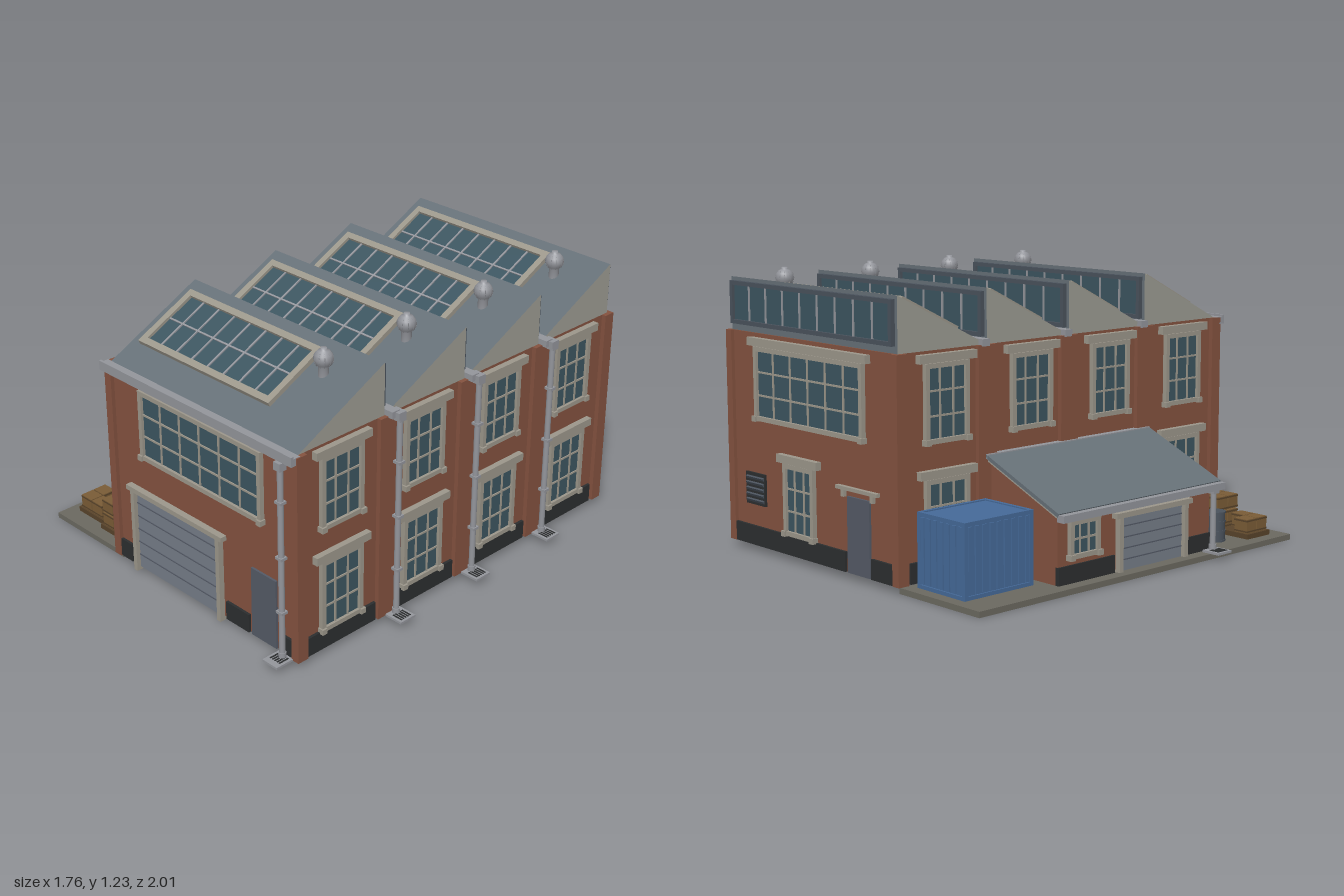
import * as THREE from 'three';

const mat = (color) => new THREE.MeshStandardMaterial({ color });
const M = {
  brick: mat(0x84523f), stone: mat(0x9c978b), gable: mat(0x9c9b92), slate: mat(0x667077), glass: mat(0x3c5560),
  metal: mat(0x93959b), dark: mat(0x2c2e2f), door: mat(0x545a66), shutter: mat(0x767d88), blue: mat(0x456a99),
  wood: mat(0x7a5c36), woodDark: mat(0x58432a), paving: mat(0x6b6960), drum: mat(0x4a525c),
};

function add(parent, name, geometry, material, x = 0, y = 0, z = 0) {
  const mesh = new THREE.Mesh(geometry, material);
  mesh.name = name;
  mesh.position.set(x, y, z);
  parent.add(mesh);
  return mesh;
}
const box = (p, name, m, w, h, d, x, y, z) => add(p, name, new THREE.BoxGeometry(w, h, d), m, x, y, z);
// box given by its min and max on each axis
const span = (p, name, m, x0, x1, y0, y1, z0, z1) =>
  box(p, name, m, x1 - x0, y1 - y0, z1 - z0, (x0 + x1) / 2, (y0 + y1) / 2, (z0 + z1) / 2);
const rod = (p, name, m, r, y0, y1, x, z, sides = 16) =>
  add(p, name, new THREE.CylinderGeometry(r, r, y1 - y0, sides), m, x, (y0 + y1) / 2, z);

function group(parent, name, x, y, z, ry = 0) {
  const g = new THREE.Group();
  g.name = name;
  g.position.set(x, y, z);
  g.rotation.y = ry;
  parent.add(g);
  return g;
}

// Glazed window facing +z, with a frame of width f and cols x rows panes
function glazing(g, w, h, cols, rows, f, frameMat = M.stone, barMat = M.stone) {
  box(g, 'glass', M.glass, w - f, h - f, 0.012, 0, 0, 0.002);
  for (const s of [-1, 1]) {
    box(g, 'frameSide', frameMat, f, h, 0.03, s * (w - f) / 2, 0, 0.006);
    box(g, 'frameRail', frameMat, w, f, 0.03, 0, s * (h - f) / 2, 0.006);
  }
  for (let i = 1; i < cols; i++) box(g, 'glazingBar', barMat, 0.008, h - f, 0.012, (i / cols - 0.5) * (w - f), 0, 0.007);
  for (let j = 1; j < rows; j++) box(g, 'glazingBar', barMat, w - f, 0.008, 0.012, 0, (j / rows - 0.5) * (h - f), 0.007);
}

// Wall window with a lintel and a sill
function wallWindow(p, name, x, y, z, ry, w, h, cols, rows, lintel) {
  const g = group(p, name, x, y, z, ry);
  glazing(g, w, h, cols, rows, 0.02);
  if (lintel) box(g, 'lintel', M.stone, w + 0.07, 0.035, 0.035, 0, h / 2 + 0.02, 0.01);
  for (const s of [-1, 1]) box(g, 'sillEnd', M.stone, 0.026, 0.024, 0.036, s * (w / 2 - 0.006), -h / 2 + 0.008, 0.012);
}

// Roller door with ribs, jambs and a lintel, standing at the local floor
function rollerDoor(p, name, x, y, z, ry, w, h, ribs) {
  const g = group(p, name, x, y, z, ry);
  box(g, 'shutter', M.shutter, w, h, 0.012, 0, h / 2, 0);
  for (let i = 1; i <= ribs; i++) box(g, 'shutterRib', M.door, w, 0.005, 0.018, 0, (i * h) / (ribs + 1), 0);
  for (const s of [-1, 1]) box(g, 'jamb', M.stone, 0.022, h + 0.02, 0.036, s * (w / 2 + 0.008), h / 2 - 0.005, 0.008);
  box(g, 'lintel', M.stone, w + 0.08, 0.022, 0.04, 0, h + 0.005, 0.01);
}

// Downpipe with hopper, brackets and drain grate; (ox, oz) points away from the wall
function downpipe(p, x, z, top, ox, oz) {
  const g = group(p, 'downpipe', x, 0, z);
  rod(g, 'pipe', M.metal, 0.013, 0.04, top, 0, 0, 12);
  box(g, 'hopper', M.metal, 0.036, 0.035, 0.036, 0, top, 0);
  rod(g, 'pipeFoot', M.metal, 0.017, 0.035, 0.06, 0, 0, 12);
  for (let y = 0.25; y < top - 0.1; y += 0.25) box(g, 'bracket', M.metal, 0.036, 0.012, 0.032, 0, y, 0);
  const d = group(g, 'drain', ox * 0.025, 0.032, oz * 0.025, ox ? 0 : Math.PI / 2);
  box(d, 'drainPlate', M.metal, 0.09, 0.01, 0.085, 0, 0, 0);
  for (let i = -2; i <= 2; i++) box(d, 'drainSlot', M.dark, 0.05, 0.004, 0.007, 0.008 * (ox || 1), 0.005, i * 0.013);
}

const X0 = -0.36, X1 = 0.77, Z0 = -0.98, Z1 = 0.9, EAVE = 0.96, RISE = 0.23, BAY = 0.467, FRONT = 0.893;

function buildWalls(root) {
  const g = group(root, 'mainHall', 0, 0, 0);
  span(g, 'brickWalls', M.brick, X0, X1, 0.03, EAVE, Z0, Z1);
  // Pilasters at the corners and between bays, plinths in each bay
  for (const [s, wall] of [[-1, X0], [1, X1]]) {
    for (let i = 0; i <= 4; i++) {
      const z = i === 0 ? 0.89 : i === 4 ? -0.968 : FRONT - BAY * i - 0.01;
      const w = i % 4 ? 0.1 : 0.055;
      box(g, 'pilaster', M.brick, 0.04, EAVE - 0.03, w, wall, 0.495, z);
    }
    for (let i = 0; i < 4; i++) {
      const z = FRONT - BAY * (i + 0.5) + 0.01;
      box(g, 'plinth', M.dark, 0.02, 0.085, 0.39, wall + s * 0.003, 0.073, z);
      const covered = s < 0 && (i === 1 || i === 2);
      wallWindow(g, 'upperSideWindow', wall, 0.748, z, s * Math.PI / 2, 0.23, 0.325, 3, 3, true);
      if (!covered) wallWindow(g, 'lowerSideWindow', wall, 0.278, z, s * Math.PI / 2, 0.23, 0.33, 3, 3, true);
    }
  }
  // Front
  for (const [a, b] of [[-0.36, -0.265], [0.35, 0.49], [0.67, 0.77]]) span(g, 'plinth', M.dark, a, b, 0.03, 0.115, Z1 - 0.01, Z1 + 0.012);
  wallWindow(g, 'frontWindow', 0.21, 0.745, Z1, 0, 0.745, 0.32, 6, 3, false);
  rollerDoor(g, 'frontRollerDoor', 0.045, 0.025, Z1, 0, 0.53, 0.385, 5);
  span(g, 'frontDoor', M.door, 0.507, 0.653, 0.03, 0.35, Z1 - 0.01, Z1 + 0.01);
  // Back
  for (const [a, b] of [[-0.36, -0.2], [-0.03, 0.77]]) span(g, 'plinth', M.dark, a, b, 0.03, 0.115, Z0 - 0.012, Z0 + 0.01);
  wallWindow(g, 'backWindow', 0.21, 0.745, Z0, Math.PI, 0.745, 0.32, 6, 3, true);
  wallWindow(g, 'backLowerWindow', 0.28, 0.27, Z0, Math.PI, 0.21, 0.31, 3, 3, true);
  span(g, 'backDoor', M.door, -0.19, -0.045, 0.03, 0.35, Z0 - 0.01, Z0 + 0.01);
  span(g, 'doorCanopy', M.stone, -0.25, 0.02, 0.375, 0.39, -1, Z0);
  for (const x of [-0.21, -0.02]) span(g, 'canopyBracket', M.stone, x - 0.01, x + 0.01, 0.345, 0.375, -0.995, Z0);
  const louver = group(g, 'louverVent', 0.6, 0.28, Z0, Math.PI);
  box(louver, 'louverFrame', M.dark, 0.14, 0.14, 0.02, 0, 0, 0);
  for (let i = -2; i <= 2; i++) box(louver, 'slat', M.drum, 0.125, 0.012, 0.016, 0, i * 0.025, 0.008).rotation.x = 0.5;
}

function buildRoof(root) {
  const tooth = new THREE.Shape([[0, EAVE], [BAY - 0.002, EAVE], [BAY - 0.002, EAVE + RISE]].map((p) => new THREE.Vector2(...p)));
  const geo = new THREE.ExtrudeGeometry(tooth, { depth: X1 - X0, bevelEnabled: false }).rotateY(Math.PI / 2);
  const slope = Math.atan2(RISE, BAY);
  const vent = [[0.022, -0.08], [0.022, -0.035], [0.034, -0.022], [0.041, 0], [0.036, 0.02], [0.024, 0.034], [0.013, 0.039], [0.013, 0.047], [0, 0.047]];
  for (let i = 0; i < 4; i++) {
    const g = group(root, 'sawtoothRoof', 0, 0, FRONT - BAY * i);
    add(g, 'roofTooth', geo, [M.gable, M.slate], X0, 0, 0);
    // Skylight lying on the slope
    const sky = group(g, 'skylight', 0.088, EAVE + 0.263 * RISE / BAY, -0.263);
    sky.rotation.x = slope - Math.PI / 2;
    glazing(sky, 0.8, 0.325, 8, 2, 0.03, M.stone, M.metal);
    // Upright north light
    const north = group(g, 'northLight', 0.205, 1.082, -BAY + 0.002, Math.PI);
    glazing(north, 1.1, 0.185, 9, 1, 0.018, M.drum, M.metal);
    // Turbine vent
    const v = group(g, 'roofVent', 0.573, 1.187, -0.325);
    add(v, 'ventBody', new THREE.LatheGeometry(vent.map((p) => new THREE.Vector2(...p)), 20), M.metal);
    for (let k = 0; k < 10; k++) {
      const fin = add(v, 'ventFin', new THREE.TorusGeometry(0.04, 0.0015, 4, 10, Math.PI * 0.6), M.metal);
      fin.rotation.set(0, (k * Math.PI) / 5, -Math.PI * 0.3, 'YXZ');
    }
    // Valley gutter and its downpipe
    if (i < 3) {
      span(g, 'valleyGutter', M.metal, -0.385, 0.81, 0.955, 0.985, -BAY - 0.043, -BAY - 0.002);
      span(g, 'gutterSpout', M.metal, 0.775, 0.83, 0.95, 0.98, -BAY - 0.06, -BAY - 0.02);
      downpipe(root, 0.81, FRONT - BAY * (i + 1) - 0.046, 0.955, 1, 0);
    }
  }
  span(root, 'frontGutter', M.metal, -0.38, 0.785, 0.93, 0.962, 0.895, 0.942);
  span(root, 'frontGutterLip', M.metal, -0.38, 0.785, 0.958, 0.972, 0.93, 0.942);
  downpipe(root, 0.715, 0.935, 0.91, 0, 1);
}

function buildLeanTo(root) {
  const g = group(root, 'leanTo', 0, 0, 0);
  const side = new THREE.Shape([[-0.77, 0.025], [X0, 0.025], [X0, 0.48], [-0.77, 0.315]].map((p) => new THREE.Vector2(...p)));
  add(g, 'leanToWalls', new THREE.ExtrudeGeometry(side, { depth: 0.91, bevelEnabled: false }), M.brick, 0, 0, -0.5);
  const roof = group(g, 'leanToRoof', -0.59, 0.412, -0.045);
  roof.rotation.z = 0.4;
  box(roof, 'roofSheet', M.slate, 0.465, 0.016, 0.97, 0, 0, 0);
  for (const s of [-1, 1]) box(roof, 'bargeBoard', M.gable, 0.455, 0.014, 0.02, 0, -0.014, s * 0.465);
  span(g, 'flashing', M.metal, -0.39, -0.36, 0.49, 0.51, -0.53, 0.44);
  span(g, 'leanToGutter', M.metal, -0.835, -0.797, 0.295, 0.325, -0.53, 0.44);
  downpipe(g, -0.815, 0.385, 0.3, -1, 0);
  rollerDoor(g, 'sideRollerDoor', -0.77, 0.025, 0.04, -Math.PI / 2, 0.38, 0.235, 4);
  wallWindow(g, 'leanToWindow', -0.77, 0.205, -0.36, -Math.PI / 2, 0.17, 0.16, 3, 2, false);
  for (const [a, b] of [[-0.5, -0.18], [0.26, 0.41]]) span(g, 'plinth', M.dark, -0.778, -0.76, 0.025, 0.1, a, b);
}

// Pallet with a 2 x 2 set of crates, one or more layers high
function crateStack(root, x, z, layers, missing) {
  const g = group(root, 'crateStack', x, 0.025, z);
  box(g, 'pallet', M.woodDark, 0.17, 0.022, 0.15, 0, 0.013, 0);
  for (let l = 0; l < layers; l++) for (const i of [-1, 1]) for (const j of [-1, 1]) {
    if (missing && i > 0 && j < 0) continue;
    box(g, 'crate', M.wood, 0.07, 0.062, 0.064, i * 0.038, 0.056 + l * 0.067, j * 0.035);
    for (const s of [-1, 1]) box(g, 'crateBand', M.woodDark, 0.074, 0.007, 0.067, i * 0.038, 0.056 + l * 0.067 + s * 0.024, j * 0.035);
  }
}

function buildYard(root) {
  const g = group(root, 'yard', 0, 0, 0);
  span(g, 'yardSlab', M.paving, -0.835, X0, 0, 0.025, -0.975, 0.89);
  crateStack(g, -0.505, 0.76, 2, false);
  crateStack(g, -0.505, 0.58, 1, false);
  crateStack(g, -0.695, 0.735, 1, true);
  for (const [x, z] of [[-0.7, 0.465], [-0.69, 0.55], [-0.61, 0.515]]) {
    rod(g, 'drum', M.drum, 0.04, 0.025, 0.158, x, z, 20);
    for (const y of [0.028, 0.07, 0.112, 0.153]) rod(g, 'drumRim', M.drum, 0.043, y, y + 0.007, x, z, 20);
  }
  // Shipping container with corrugated sides
  const c = group(g, 'container', -0.55, 0.18, -0.74);
  box(c, 'containerBody', M.blue, 0.27, 0.3, 0.35, 0, 0, 0);
  for (const s of [-1, 1]) {
    for (let i = 0; i < 9; i++) box(c, 'corrugation', M.blue, 0.01, 0.27, 0.02, s * 0.136, 0, -0.152 + i * 0.038);
    for (let i = 0; i < 7; i++) box(c, 'corrugation', M.blue, 0.02, 0.27, 0.01, -0.114 + i * 0.038, 0, s * 0.176);
    for (const t of [-1, 1]) {
      box(c, 'cornerPost', M.blue, 0.018, 0.31, 0.018, s * 0.133, 0, t * 0.173);
      box(c, 'longRail', M.blue, 0.016, 0.016, 0.36, s * 0.134, t * 0.147, 0);
      box(c, 'endRail', M.blue, 0.28, 0.016, 0.016, 0, t * 0.147, s * 0.174);
    }
  }
}

export function createModel() {
  const root = new THREE.Group();
  root.name = 'factoryBuilding';
  buildWalls(root);
  buildRoof(root);
  buildLeanTo(root);
  buildYard(root);
  return root;
}
